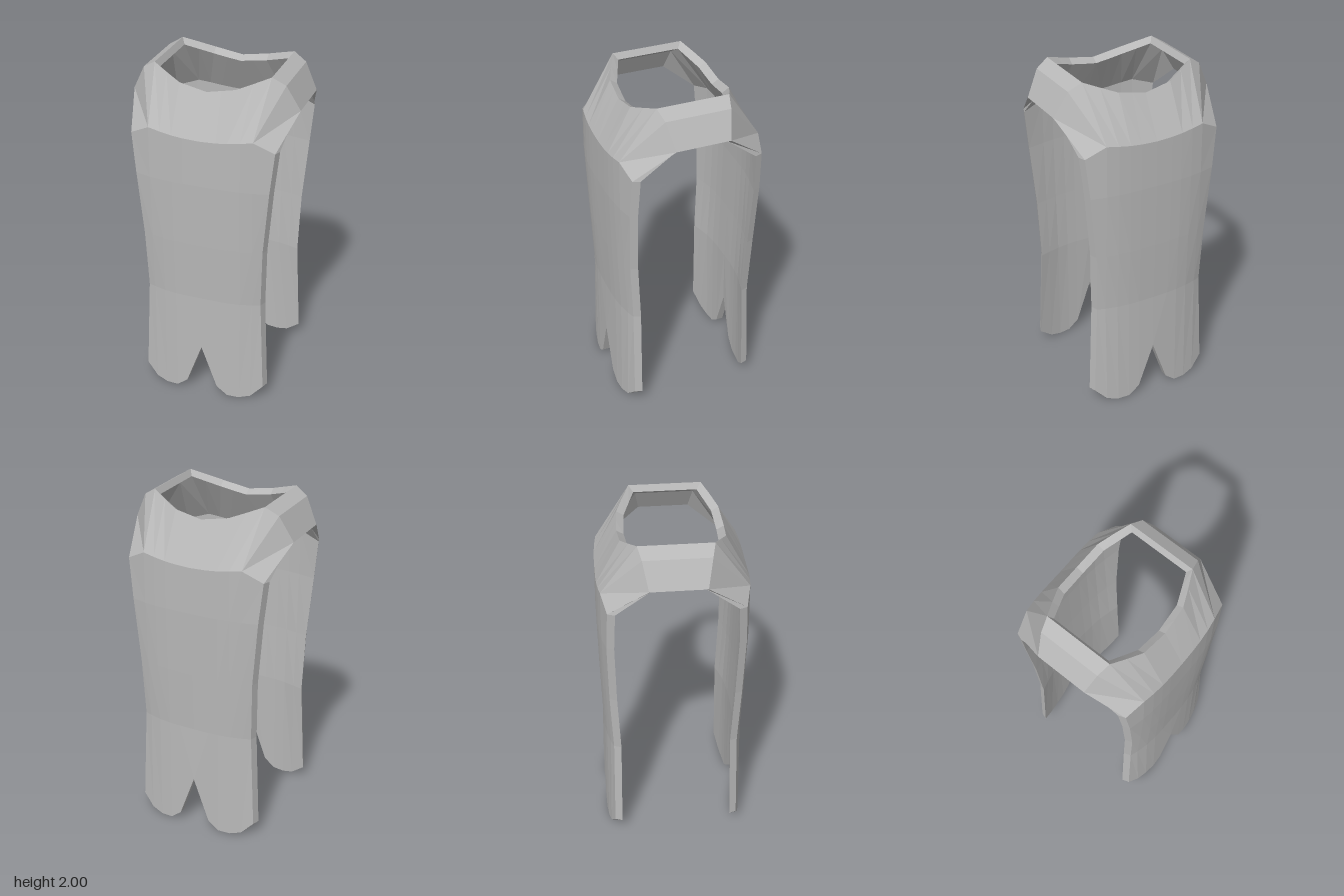
import * as THREE from 'three';

const V = (x, y, z) => new THREE.Vector3(x, y, z);

// Neck and shoulder edge: centre of the neckline out to the shoulder tip
const neckOuter = [[0, 1.905, 0.295], [0.08, 1.92, 0.29], [0.16, 1.935, 0.285], [0.25, 1.968, 0.246],
  [0.335, 2, 0.205], [0.41, 1.955, 0.185], [0.485, 1.81, 0.155]];
const neckInner = [[0, 1.88, 0.255], [0.08, 1.893, 0.25], [0.16, 1.908, 0.245], [0.24, 1.937, 0.212],
  [0.315, 1.965, 0.18], [0.385, 1.92, 0.165], [0.455, 1.793, 0.145]];

// Panel columns; the fifth is doubled so the shoulder fans out from one point
const columns = [0, 0.095, 0.16, 0.23, 0.3, 0.3];
const yokeY = [1.67, 1.674, 1.68, 1.69, 1.7, 1.7, 1.64];
const hemY = [0.32, 0.055, 0.003, 0, 0.02, 0.02, 0.09];
const level = (y) => Array(7).fill(y);

// Panel rows: heights, edge half-width, depth at the centre and at the edge
const rows = [
  { ys: yokeY, edge: 0.415, zc: 0.423, ze: 0.375 },
  { ys: level(1.4), edge: 0.39, zc: 0.426, ze: 0.385 },
  { ys: level(1.02), edge: 0.356, zc: 0.42, ze: 0.378 },
  { ys: level(0.66), edge: 0.345, zc: 0.41, ze: 0.362 },
  { ys: hemY, edge: 0.37, zc: 0.418, ze: 0.372 },
];

// One layer of the cloth for a quarter of the garment
function layer(inner) {
  const neck = (inner ? neckInner : neckOuter).map((p) => V(...p));
  const ridge = neck.map((p) => V(p.x, p.y, 0));
  const panel = rows.map(({ ys, edge, zc, ze }, r) => ys.map((y, j) => {
    const x = j < 6 ? columns[j] : edge;
    const z = zc - (zc - ze) * (x / edge) ** 3;
    const drop = inner && r === 0 && j < 6 ? 0.02 : 0;
    return V(inner && j === 6 ? x + 0.015 : x, y - drop, z - (inner ? 0.042 : 0));
  }));
  return [ridge, neck, ...panel];
}

function quarterTriangles() {
  const O = layer(false), I = layer(true), tris = [];
  const tri = (a, b, c) => {
    if (new THREE.Triangle(a, b, c).getArea() > 1e-7) tris.push([a, b, c]);
  };
  const quad = (a, b, c, d) => { tri(a, b, d); tri(b, c, d); };

  // Outer and inner faces; the ridge row spans only the shoulder strap
  for (let i = 0; i < O.length - 1; i++) {
    for (let j = i === 0 ? 4 : 0; j < 6; j++) {
      quad(O[i][j], O[i + 1][j], O[i + 1][j + 1], O[i][j + 1]);
      quad(I[i][j + 1], I[i + 1][j + 1], I[i + 1][j], I[i][j]);
    }
  }

  // Rims: neckline, then armhole, side and hem
  const last = O.length - 1;
  const neckPath = [[1, 0], [1, 1], [1, 2], [1, 3], [1, 4], [0, 4]];
  const sidePath = [...O.map((_, i) => [i, 6]), ...[5, 4, 3, 2, 1, 0].map((j) => [last, j])];
  for (const path of [neckPath, sidePath]) {
    for (let k = 0; k < path.length - 1; k++) {
      const [i, j] = path[k], [m, n] = path[k + 1];
      quad(O[i][j], O[m][n], I[m][n], I[i][j]);
    }
  }
  return tris;
}

export function createModel() {
  const group = new THREE.Group();
  group.name = 'tabard';
  const cloth = new THREE.MeshStandardMaterial({ color: 0xb8b8b8 });
  cloth.name = 'grey cloth';
  const quarter = quarterTriangles();

  // Front and back halves, each mirrored left to right; unshared corners keep facets flat
  for (const [name, sz] of [['frontPanel', 1], ['backPanel', -1]]) {
    const positions = [];
    for (const sx of [1, -1]) {
      for (const [a, b, c] of quarter) {
        for (const p of sx * sz > 0 ? [a, b, c] : [a, c, b]) positions.push(p.x * sx, p.y, p.z * sz);
      }
    }
    const geometry = new THREE.BufferGeometry();
    geometry.setAttribute('position', new THREE.Float32BufferAttribute(positions, 3));
    geometry.computeVertexNormals();
    const mesh = new THREE.Mesh(geometry, cloth);
    mesh.name = name;
    group.add(mesh);
  }
  return group;
}
